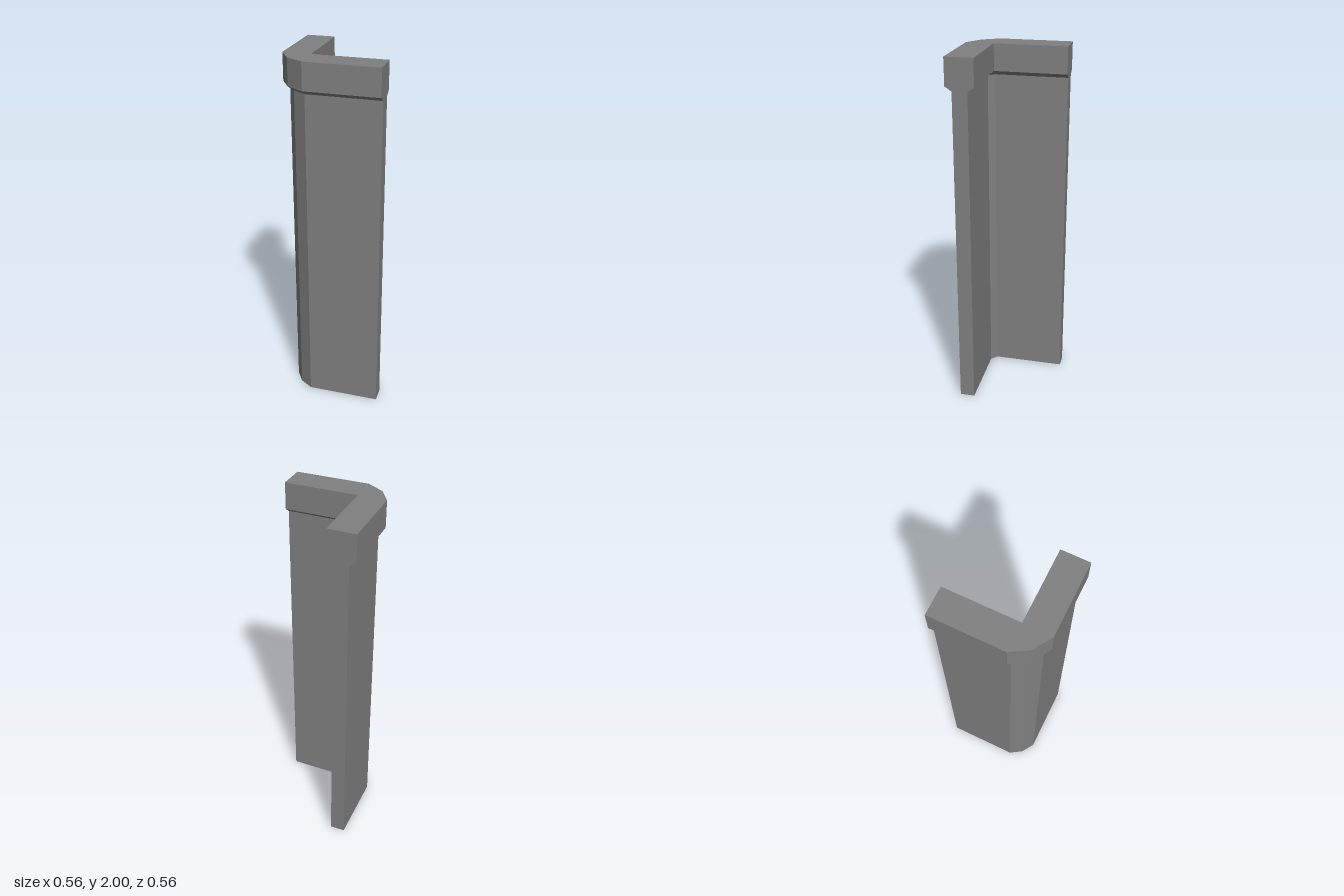
import * as THREE from 'three';
import { mergeGeometries } from 'three/addons/utils/BufferGeometryUtils.js';

const END = 0.28;      // free end of each leg
const BEVEL_Y = 1.826; // underside of the cap's bevel
const CAP_Y = 1.851;   // upper edge of the bevel
const TOP_Y = 2;

// Plan outlines as [x, z]: outer side from the rear end round to the left end, inner side back again
const outer = (face, mid, start) => [[-face, -END], [-face, start], [-mid, mid], [-start, face], [END, face]];
const inner = (face, start) => [[END, face], [-start, face], [-face, start], [-face, -END]];

const wallOuter = outer(0.243, 0.197, 0.125);
const wallInner = inner(0.16, 0.125);
const capOuter = outer(0.28, 0.221, 0.125);
const capInner = inner(0.125, 0.125);

// Strip between a lower and an upper outline
function strip(low, y0, high, y1) {
  const pos = [], index = [];
  low.forEach(([x, z], i) => {
    pos.push(x, y0, z, high[i][0], y1, high[i][1]);
    if (i) {
      const a = 2 * i - 2;
      index.push(a, a + 2, a + 3, a, a + 3, a + 1);
    }
  });
  const g = new THREE.BufferGeometry();
  g.setAttribute('position', new THREE.Float32BufferAttribute(pos, 3));
  g.setIndex(index);
  g.computeVertexNormals();
  return g;
}

// Flat polygon in the xy plane, facing +z
function flat(points) {
  const g = new THREE.ShapeGeometry(new THREE.Shape(points.map(([x, y]) => new THREE.Vector2(x, y))));
  g.deleteAttribute('uv');
  return g;
}

// Matching end faces of both legs, from a profile of [offset, y]
function ends(profile) {
  return [
    flat(profile.map(([w, y]) => [-w, y])).rotateY(Math.PI / 2).translate(END, 0, 0),
    flat(profile).rotateY(Math.PI).translate(0, 0, -END),
  ];
}

export function createModel() {
  const group = new THREE.Group();
  const material = new THREE.MeshStandardMaterial({ color: 0x808080, flatShading: true, side: THREE.DoubleSide });
  const add = (name, parts) => {
    const mesh = new THREE.Mesh(mergeGeometries(parts), material);
    mesh.name = name;
    group.add(mesh);
  };

  // Tall hollow corner wall, open at the foot, with a chamfered inside and a faceted outside
  add('cornerWall', [
    strip(wallOuter, 0, wallOuter, BEVEL_Y),
    strip(wallInner, 0, wallInner, BEVEL_Y),
    ...ends([[0.16, 0], [0.243, 0], [0.243, BEVEL_Y], [0.16, BEVEL_Y]]),
  ]);

  // Sloping underside that carries the wall out to the cap
  add('capBevel', [
    strip(wallOuter, BEVEL_Y, capOuter, CAP_Y),
    strip(wallInner, BEVEL_Y, capInner, CAP_Y),
    ...ends([[0.16, BEVEL_Y], [0.243, BEVEL_Y], [0.28, CAP_Y], [0.125, CAP_Y]]),
  ]);

  // Thick cap with a sharp inner corner
  const capPlan = [...capOuter, capInner[0], capInner[1], capInner[3]];
  add('cap', [
    strip(capOuter, CAP_Y, capOuter, TOP_Y),
    strip(capInner, CAP_Y, capInner, TOP_Y),
    flat(capPlan.map(([x, z]) => [x, -z])).rotateX(-Math.PI / 2).translate(0, TOP_Y, 0),
    ...ends([[0.125, CAP_Y], [0.28, CAP_Y], [0.28, TOP_Y], [0.125, TOP_Y]]),
  ]);

  return group;
}
